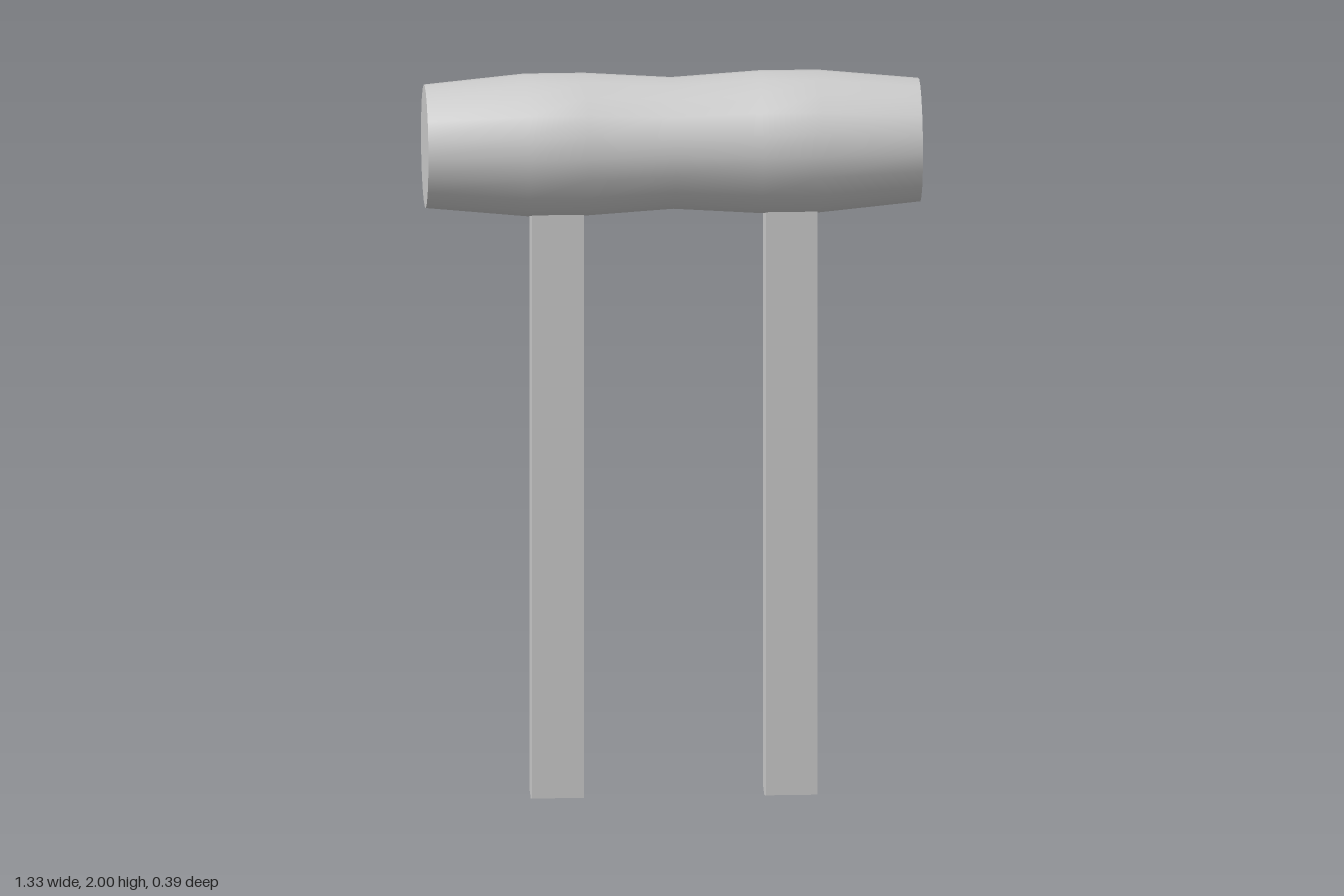
import * as THREE from 'three';

const SIDES = 20;
const AXIS_Y = 1.807;
const HALF_LENGTH = 0.667;
const END_RADIUS = 0.167;

export function createModel() {
  const model = new THREE.Group();
  const material = new THREE.MeshStandardMaterial({ color: 0xcccccc });

  function add(parent, name, geometry) {
    const mesh = new THREE.Mesh(geometry, material);
    mesh.name = name;
    parent.add(mesh);
    return mesh;
  }

  // Log: a gently waisted round body lying along x, with flat ends
  const log = new THREE.Group();
  log.name = 'log';
  log.position.y = AXIS_Y;
  log.rotation.z = -Math.PI / 2;
  model.add(log);

  const half = [[0, 0.178], [0.235, 0.193], [0.395, 0.193], [HALF_LENGTH, END_RADIUS]];
  const profile = [
    ...half.slice(1).reverse().map(([x, r]) => new THREE.Vector2(r, -x)),
    ...half.map(([x, r]) => new THREE.Vector2(r, x)),
  ];
  add(log, 'logBody', new THREE.LatheGeometry(profile, SIDES));

  for (const side of [-1, 1]) {
    const cap = add(log, side > 0 ? 'leftEnd' : 'rightEnd',
      new THREE.CircleGeometry(END_RADIUS, SIDES));
    cap.position.y = side * HALF_LENGTH;
    cap.rotation.x = -side * Math.PI / 2;
  }

  // Legs: square posts with a shallow ridged foot, tops sunk into the log
  const legWidth = 0.14;
  const legShape = new THREE.Shape([
    [0, 0], [0.067, 0.015], [0.067, 1.66], [-0.067, 1.66], [-0.067, 0.015],
  ].map(([z, y]) => new THREE.Vector2(z, y)));
  const legGeometry = new THREE.ExtrudeGeometry(legShape, { depth: legWidth, bevelEnabled: false });
  legGeometry.translate(0, 0, -legWidth / 2);
  legGeometry.rotateY(Math.PI / 2);

  add(model, 'rightLeg', legGeometry).position.x = -0.311;
  add(model, 'leftLeg', legGeometry).position.x = 0.319;

  return model;
}
